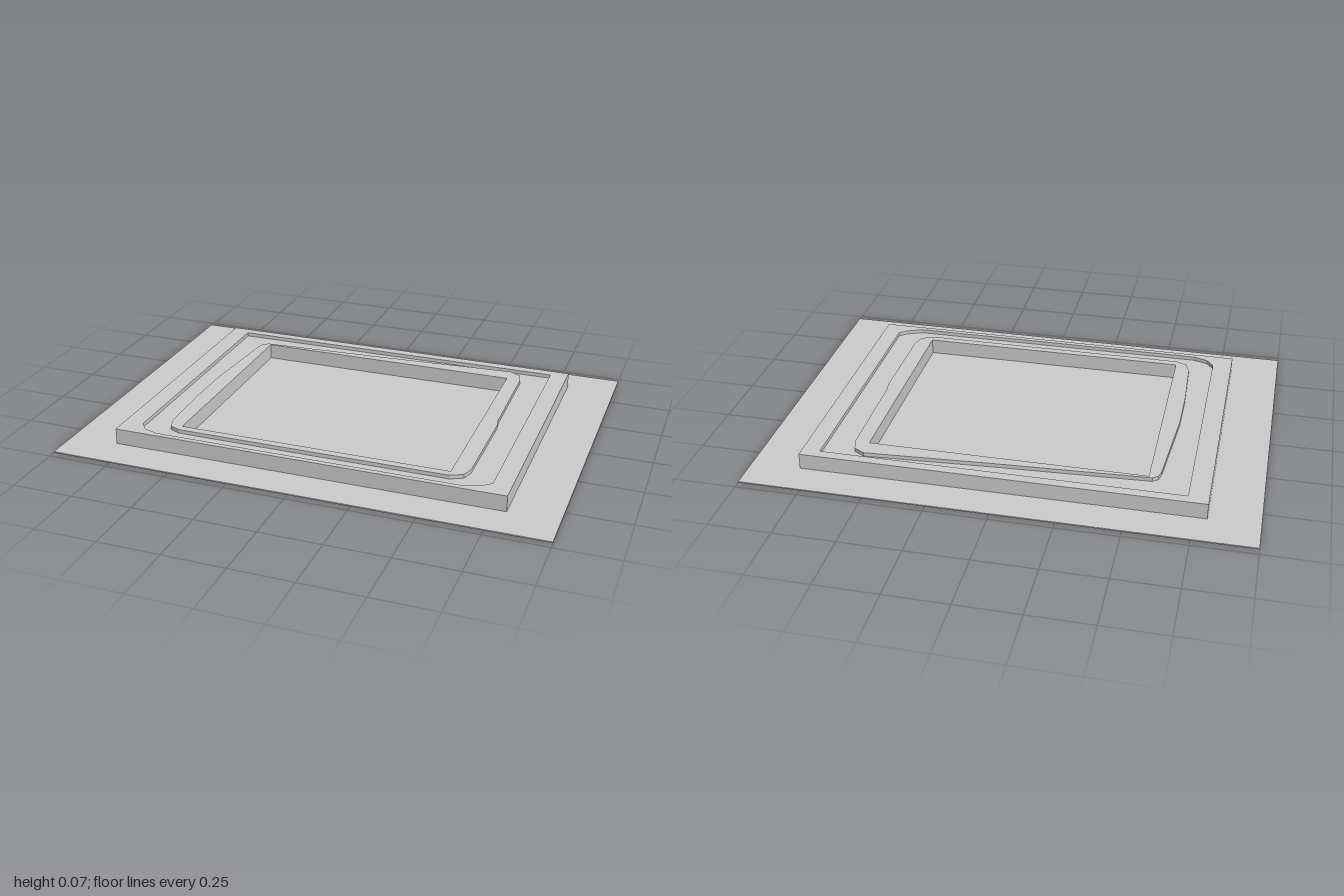
import * as THREE from 'three';

const material = new THREE.MeshStandardMaterial({ color: 0xcccccc, flatShading: true });

// Outlines are lists of [x, z]
const rect = (x0, x1, z0, z1) => [[x0, z0], [x1, z0], [x1, z1], [x0, z1]];
const toPoints = (outline) => outline.map(([x, z]) => new THREE.Vector2(x, z));

// Flat slab between two heights, optionally with a hole
function slab(name, outline, hole, bottom, top) {
  const shape = new THREE.Shape(toPoints(outline));
  if (hole) shape.holes.push(new THREE.Path(toPoints(hole)));
  const geometry = new THREE.ExtrudeGeometry(shape, { depth: top - bottom, bevelEnabled: false });
  geometry.rotateX(Math.PI / 2).translate(0, top, 0);
  const mesh = new THREE.Mesh(geometry, material);
  mesh.name = name;
  return mesh;
}

export function createModel() {
  const group = new THREE.Group();
  group.name = 'recessedPanel';

  const plateTop = 0.005, grooveFloor = 0.054, top = 0.07;
  const block = rect(-0.8, 0.8, -0.58, 0.572);
  const pocket = rect(-0.56, 0.556, -0.44, 0.46);

  // Outer edge of the groove: square at the back, eased corners at the front
  const grooveOuter = [
    [-0.72, -0.54], [0.727, -0.54], [0.727, 0.497], [0.70, 0.52], [0.63, 0.55],
    [-0.63, 0.55], [-0.69, 0.53], [-0.72, 0.49],
  ];
  // Inner edge of the groove: slightly skewed with rounded corners
  const grooveInner = [
    [-0.605, -0.40], [-0.597, -0.433], [-0.575, -0.45], [0, -0.48], [0.555, -0.515],
    [0.60, -0.49], [0.615, -0.44], [0.62, -0.02], [0.627, 0.02], [0.625, 0.42], [0.61, 0.467], [0.56, 0.492],
    [-0.56, 0.492], [-0.605, 0.473], [-0.622, 0.42], [-0.632, 0.18], [-0.632, -0.02],
  ];

  group.add(
    slab('basePlate', rect(-1, 1, -0.72, 0.72), null, 0, plateTop),
    slab('frameBody', block, pocket, plateTop, grooveFloor),
    slab('outerRim', block, grooveOuter, grooveFloor, top),
    slab('innerRim', grooveInner, pocket, grooveFloor, top),
  );
  return group;
}
